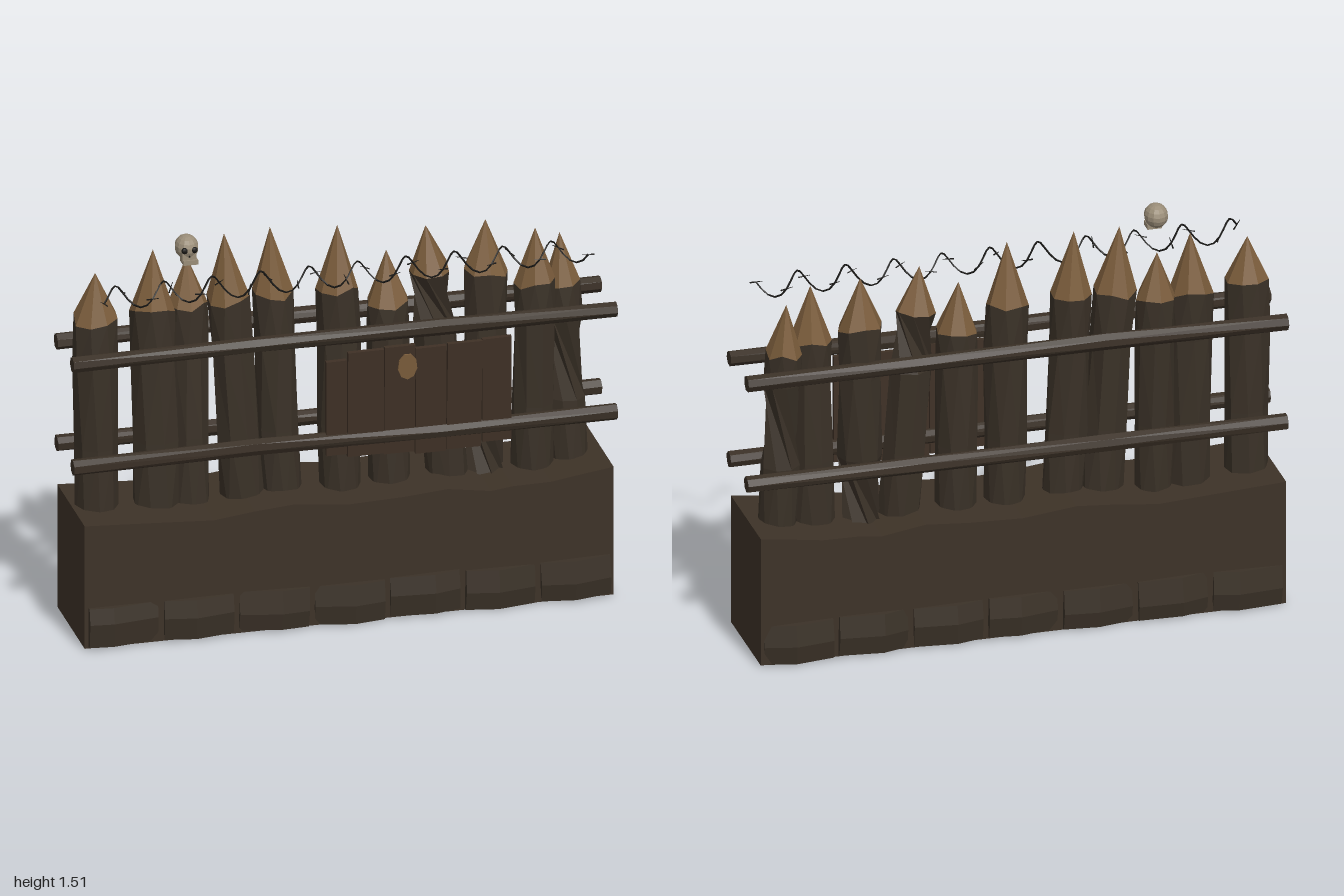
import * as THREE from 'three';

let seed = 7;
const rand = () => (seed = (seed * 16807) % 2147483647) / 2147483647;
const jit = (a) => (rand() * 2 - 1) * a;

const material = (name, color) => {
  const m = new THREE.MeshStandardMaterial({ color });
  m.name = name;
  m.flatShading = true;
  return m;
};

// Ring of points around (x, y, z), turned by the angle rot
function ring(x, y, z, r, rot, n, rough, roughY = 0) {
  return Array.from({ length: n }, (_, i) => {
    const a = rot + (i / n) * Math.PI * 2;
    const k = r * (1 + jit(rough));
    return new THREE.Vector3(x + k * Math.cos(a), y + jit(roughY), z + k * Math.sin(a));
  });
}

// Faceted skin over a stack of rings, closed by a start and an end point
function skin(rings, start, end) {
  const pos = [];
  const tri = (...p) => p.forEach((v) => pos.push(v.x, v.y, v.z));
  const n = rings[0].length;
  const last = rings[rings.length - 1];
  for (let i = 0; i < n; i++) {
    const j = (i + 1) % n;
    for (let k = 0; k < rings.length - 1; k++) {
      const a = rings[k], b = rings[k + 1];
      tri(a[i], b[i], a[j]);
      tri(a[j], b[i], b[j]);
    }
    if (start) tri(start, rings[0][i], rings[0][j]);
    if (end) tri(last[i], end, last[j]);
  }
  const g = new THREE.BufferGeometry();
  g.setAttribute('position', new THREE.Float32BufferAttribute(pos, 3));
  g.computeVertexNormals();
  return g;
}

export function createModel() {
  seed = 7;
  const group = new THREE.Group();
  const earth = material('earth', 0x3d3227);
  const stone = material('stone', 0x3a3127);
  const bark = material('bark', 0x3a3127);
  const cutWood = material('cut wood', 0x7a5c3b);
  const railWood = material('rail wood', 0x3a3026);
  const plankWood = material('plank wood', 0x3e3025);
  const iron = material('iron', 0x1a1917);
  const bone = material('bone', 0x9a8d78);
  const add = (name, geometry, mat, parent = group) => {
    const mesh = new THREE.Mesh(geometry, mat);
    mesh.name = name;
    parent.add(mesh);
    return mesh;
  };
  const sub = (name) => {
    const g = new THREE.Group();
    g.name = name;
    group.add(g);
    return g;
  };

  // Earth bank with an uneven top
  const bank = new THREE.Shape();
  bank.moveTo(-0.975, 0.01);
  bank.lineTo(0.97, 0.01);
  [[0.97, 0.505], [0.86, 0.49], [0.74, 0.472], [0.6, 0.47], [0.52, 0.46], [0.36, 0.485], [0.2, 0.472],
    [0, 0.465], [-0.2, 0.487], [-0.35, 0.475], [-0.5, 0.457], [-0.68, 0.468], [-0.85, 0.478], [-0.975, 0.485]]
    .forEach(([x, y]) => bank.lineTo(x, y));
  add('earthBank', new THREE.ExtrudeGeometry(bank, { depth: 0.39, bevelEnabled: false })
    .translate(0, 0, -0.2), earth);

  // Rough stones along the foot, front and back
  const stones = sub('footStones');
  for (const side of [1, -1]) {
    for (let i = 0; i < 7; i++) {
      let g = new THREE.BoxGeometry(0.268, 0.155, 0.05, 2, 2, 1);
      const p = g.attributes.position;
      const cx = jit(0.04), cy = jit(0.02), bulge = 0.032 + jit(0.01), tilt = jit(0.012);
      for (let k = 0; k < p.count; k++) {
        if (p.getZ(k) < 0) continue;
        const x = p.getX(k), y = p.getY(k);
        const mid = Math.abs(x) < 0.01, level = Math.abs(y) < 0.01;
        p.setXYZ(k, mid ? cx : x * 0.95, level ? cy : y * 0.97,
          0.025 + (mid ? bulge * 0.6 : tilt * Math.sign(x)) + (level ? 0.012 : 0));
      }
      g = g.toNonIndexed();
      g.computeVertexNormals();
      const m = add('footStone', g, stone, stones);
      m.position.set(-0.832 + i * 0.277, 0.088 + jit(0.004), side * 0.172 - 0.004);
      m.rotation.set(0, side < 0 ? Math.PI : 0, jit(0.03));
    }
  }

  // Sharpened stakes: foot x, tip x, z, tip y, shoulder y, radius, twist of three sections
  const stakes = sub('stakes');
  [
    [-0.88, -0.885, -0.01, 1.375, 1.2, 0.078, [0.1, 0.2, 0.1]],
    [-0.66, -0.665, -0.04, 1.43, 1.21, 0.082, [0.2, 0.2, 0.3]],
    [-0.53, -0.535, -0.065, 1.38, 1.2, 0.07, [0.3, 0.7, 0.5]],
    [-0.34, -0.41, -0.015, 1.475, 1.23, 0.076, [0.4, 0.8, 0.6]],
    [-0.2, -0.24, -0.02, 1.48, 1.23, 0.074, [0.3, 0.5, 0.3]],
    [0.015, 0.005, -0.01, 1.465, 1.23, 0.077, [0.3, 0.4, 0.2]],
    [0.2, 0.19, -0.03, 1.34, 1.15, 0.076, [0.3, 0.5, 0.4]],
    [0.41, 0.335, -0.03, 1.42, 1.25, 0.076, [0.6, 0.8, 2.0]],
    [0.55, 0.56, -0.05, 1.41, 1.22, 0.08, [2.1, 0.4, 0.2]],
    [0.72, 0.73, 0, 1.38, 1.17, 0.075, [0.4, 0.8, 0.4]],
    [0.86, 0.83, -0.04, 1.335, 1.15, 0.068, [0.3, 2.0, 0.3]],
  ].forEach(([x0, x1, z, tipY, shoulder, r, twists]) => {
    const heights = [0.4, 0.71, 1.03, shoulder];
    let rot = rand();
    const rings = heights.map((y, i) => {
      if (i) rot += twists[i - 1];
      const t = (y - 0.4) / (tipY - 0.4);
      return ring(x0 + (x1 - x0) * t, y, z * (0.4 + 0.6 * t), r * (i === 3 ? 1 : 1.02), rot, 8, 0.07, i === 3 ? 0.018 : 0);
    });
    add('stakeShaft', skin(rings, new THREE.Vector3(x0, 0.4, z * 0.4)), bark, stakes);
    add('stakePoint', skin([rings[3]], null, new THREE.Vector3(x1, tipY, z)), cutWood, stakes);
  });

  // Cross rails, two in front and two behind
  const rails = sub('rails');
  for (const [y, z] of [[1.08, 0.107], [0.685, 0.11], [1.08, -0.12], [0.685, -0.117]]) {
    let rot = rand();
    const rings = [-1, -0.33, 0.35, 1].map((x) =>
      ring(jit(0.005), x, jit(0.004), 0.03, (rot += 0.3), 7, 0.08));
    const g = skin(rings, new THREE.Vector3(0, -1, 0), new THREE.Vector3(0, 1, 0));
    add('rail', g.rotateZ(-Math.PI / 2).translate(0, y, z), railWood, rails);
  }

  // Plank panel: left x, right x, bottom y, top y
  const panel = sub('plankPanel');
  [
    [-0.07, 0.005, 0.63, 1.0], [0.008, 0.14, 0.62, 1.03], [0.143, 0.255, 0.615, 1.035], [0.258, 0.37, 0.605, 1.02],
    [0.373, 0.5, 0.61, 1.025], [0.503, 0.61, 0.625, 1.03],
  ].forEach(([a, b, low, high]) => {
    const m = add('plank', new THREE.BoxGeometry(b - a, high - low, 0.018), plankWood, panel);
    m.position.set((a + b) / 2, (low + high) / 2, 0.122 + jit(0.003));
    m.rotation.set(0.04, 0, jit(0.012));
  });
  const knot = add('plankKnot', new THREE.CylinderGeometry(0.036, 0.036, 0.008, 9).rotateX(Math.PI / 2), cutWood, panel);
  knot.scale.y = 1.4;
  knot.position.set(0.225, 0.955, 0.139);
  knot.rotation.x = 0.04;

  // Coiled barbed wire
  const wire = sub('barbedWire');
  const turns = 10;
  const coil = (t) => {
    const a = t * turns * Math.PI * 2;
    return new THREE.Vector3(-0.9 + 1.78 * t, 1.335 + 0.043 * Math.sin(a), 0.135 + 0.043 * Math.cos(a));
  };
  const points = Array.from({ length: turns * 8 + 1 }, (_, i) => coil(i / (turns * 8)));
  add('wireCoil', new THREE.TubeGeometry(new THREE.CatmullRomCurve3(points), turns * 10, 0.0035, 4), iron, wire);
  for (let i = 0; i <= turns * 2; i++) {
    const m = add('barb', new THREE.CylinderGeometry(0.001, 0.003, 0.045, 4), iron, wire);
    m.position.copy(coil(i / (turns * 2)));
    m.rotation.set(jit(1.5), 0, jit(1.5));
  }

  // Skull
  const skull = sub('skull');
  skull.position.set(-0.565, 1.47, 0.052);
  add('cranium', new THREE.SphereGeometry(1, 12, 9).scale(0.043, 0.045, 0.051), bone, skull);
  add('cheeks', new THREE.BoxGeometry(0.052, 0.03, 0.035), bone, skull).position.set(0, -0.026, 0.024);
  add('jaw', new THREE.BoxGeometry(0.054, 0.018, 0.048), bone, skull).position.set(0.004, -0.045, 0.024);
  for (const s of [1, -1]) {
    add('eyeSocket', new THREE.SphereGeometry(0.012, 8, 6), iron, skull).position.set(s * 0.018, 0.002, 0.043);
  }
  add('noseHole', new THREE.ConeGeometry(0.006, 0.014, 3), iron, skull).position.set(0, -0.017, 0.044);

  return group;
}
